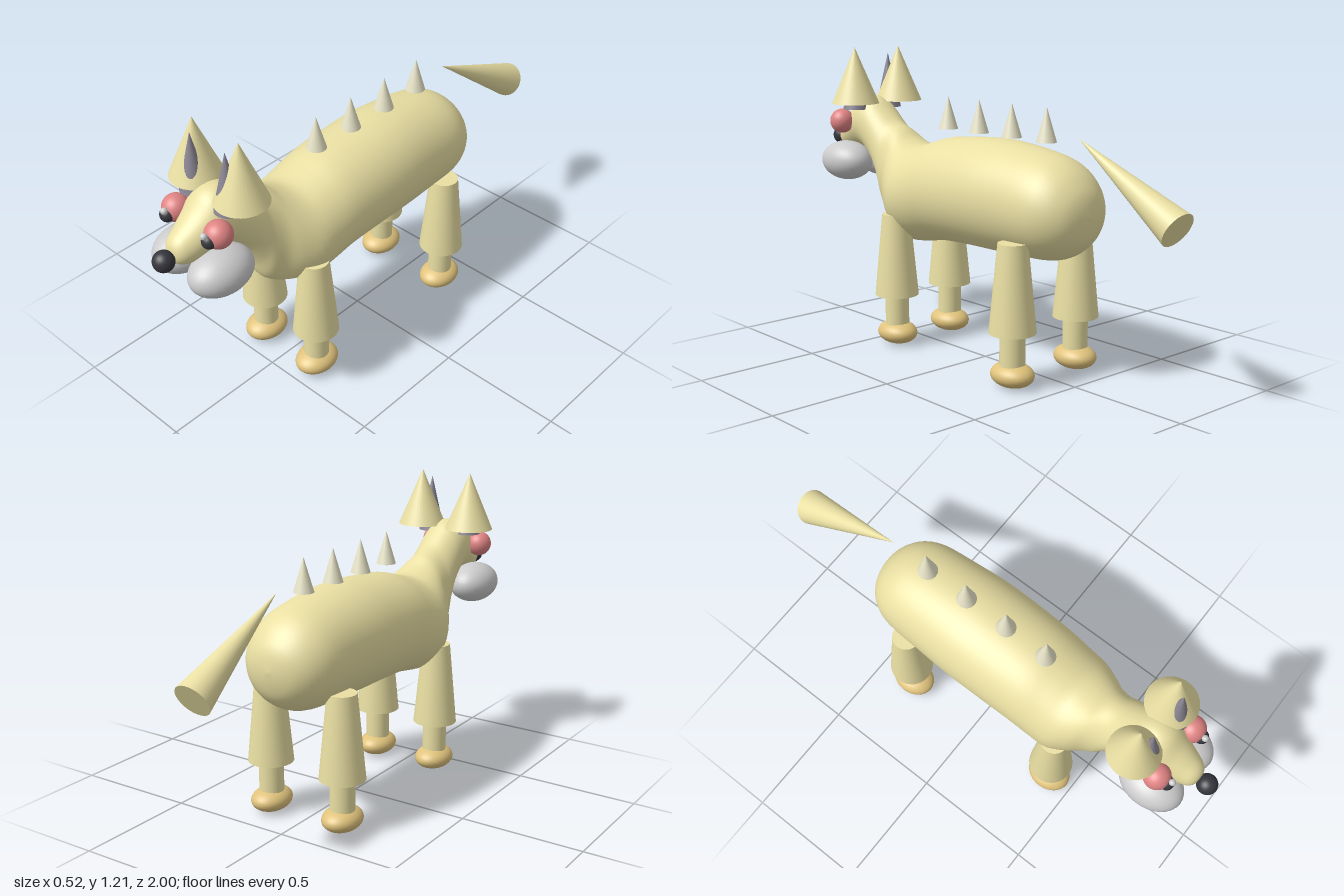
import * as THREE from 'three';

const mat = (color) => new THREE.MeshStandardMaterial({ color });
const tan = mat(0xe9dfa3), paw = mat(0xdfc27c), bone = mat(0xe8e4c8), grey = mat(0xcccccc);
const pink = mat(0xe08484), dark = mat(0x36363e), innerEarMat = mat(0x8c8794);

function add(parent, name, geometry, material, x, y, z) {
  const mesh = new THREE.Mesh(geometry, material);
  mesh.name = name;
  mesh.position.set(x, y, z);
  parent.add(mesh);
  return mesh;
}

const ellipsoid = (rx, ry, rz) => new THREE.SphereGeometry(1, 32, 20).scale(rx, ry, rz);
const cone = (r, h) => new THREE.ConeGeometry(r, h, 32);

// Smooth skin through oval sections: [z, top, bottom, half width]
function loft(sections, rings, sides) {
  const plan = new THREE.SplineCurve(sections.map((s) => new THREE.Vector2(s[0], s[3])));
  const side = new THREE.SplineCurve(sections.map((s) => new THREE.Vector2(s[1], s[2])));
  const position = [], index = [];
  for (let i = 0; i <= rings; i++) {
    const p = plan.getPoint(i / rings), q = side.getPoint(i / rings);
    const cy = (q.x + q.y) / 2, ry = (q.x - q.y) / 2;
    for (let j = 0; j < sides; j++) {
      const a = (j / sides) * Math.PI * 2;
      position.push(p.y * Math.cos(a), cy + ry * Math.sin(a), p.x);
      if (i === rings) continue;
      const k = (j + 1) % sides, r0 = i * sides, r1 = r0 + sides;
      index.push(r0 + j, r0 + k, r1 + k, r0 + j, r1 + k, r1 + j);
    }
  }
  const geometry = new THREE.BufferGeometry();
  geometry.setAttribute('position', new THREE.Float32BufferAttribute(position, 3));
  geometry.setIndex(index);
  geometry.computeVertexNormals();
  return geometry;
}

function addLeg(parent, name, x, z) {
  const leg = new THREE.Group();
  leg.name = name;
  leg.position.set(x, 0, z);
  parent.add(leg);
  add(leg, 'upperLeg', new THREE.CylinderGeometry(0.057, 0.09, 0.34, 32), tan, 0, 0.385, 0);
  add(leg, 'lowerLeg', new THREE.CylinderGeometry(0.049, 0.049, 0.2, 32), tan, 0, 0.16, 0);
  add(leg, 'paw', ellipsoid(0.075, 0.048, 0.093), paw, 0, 0.053, 0);
}

export function createModel() {
  const model = new THREE.Group();
  model.name = 'dog';

  // Rump, trunk, chest, neck, head and muzzle in one skin
  const sections = [
    [-0.562, 0.66, 0.66, 0], [-0.553, 0.72, 0.605, 0.06], [-0.53, 0.77, 0.55, 0.115],
    [-0.48, 0.825, 0.503, 0.163], [-0.4, 0.865, 0.475, 0.193], [-0.25, 0.89, 0.468, 0.205],
    [-0.1, 0.9, 0.465, 0.214], [0.05, 0.893, 0.463, 0.214], [0.2, 0.877, 0.455, 0.21],
    [0.3, 0.848, 0.437, 0.206], [0.38, 0.83, 0.427, 0.2], [0.45, 0.852, 0.437, 0.167],
    [0.5, 0.885, 0.457, 0.133], [0.545, 0.905, 0.505, 0.117], [0.575, 0.922, 0.59, 0.11],
    [0.62, 0.958, 0.675, 0.103], [0.67, 0.997, 0.735, 0.1], [0.72, 1.01, 0.775, 0.098],
    [0.77, 0.995, 0.785, 0.093], [0.82, 0.945, 0.775, 0.08], [0.87, 0.905, 0.765, 0.066],
    [0.905, 0.88, 0.775, 0.051], [0.924, 0.855, 0.795, 0.03], [0.93, 0.825, 0.825, 0],
  ];
  add(model, 'body', loft(sections, 92, 48), tan, 0, 0, 0);

  // Spikes along the back
  for (const z of [0.222, 0.037, -0.15, -0.337]) {
    add(model, 'backSpike', cone(0.039, 0.132), bone, 0, 0.976, z);
  }

  // Tail, thin end at the rump
  const tail = add(model, 'tail', cone(0.071, 0.531), tan, 0, 0.808, -0.731);
  tail.rotation.x = Math.PI / 3;

  // Nose
  add(model, 'nose', ellipsoid(0.04, 0.04, 0.04), dark, 0, 0.815, 0.96);

  // Paired parts
  for (const s of [1, -1]) {
    const side = s > 0 ? 'left' : 'right';
    addLeg(model, side + 'FrontLeg', s * 0.143, 0.39);
    addLeg(model, side + 'BackLeg', s * 0.168, -0.337);
    add(model, side + 'Cheek', ellipsoid(0.097, 0.084, 0.131), grey, s * 0.095, 0.729, 0.793);
    add(model, side + 'Eye', ellipsoid(0.052, 0.052, 0.052), pink, s * 0.11, 0.9, 0.803);
    add(model, side + 'Pupil', ellipsoid(0.028, 0.028, 0.028), dark, s * 0.108, 0.893, 0.844);
    add(model, side + 'EyeGlint', ellipsoid(0.013, 0.013, 0.013), grey, s * 0.102, 0.919, 0.861);
    add(model, side + 'Ear', cone(0.1, 0.235), tan, s * 0.115, 1.102, 0.695);
    add(model, side + 'InnerEar', cone(0.054, 0.232), innerEarMat, s * 0.088, 1.071, 0.732);
  }
  return model;
}
